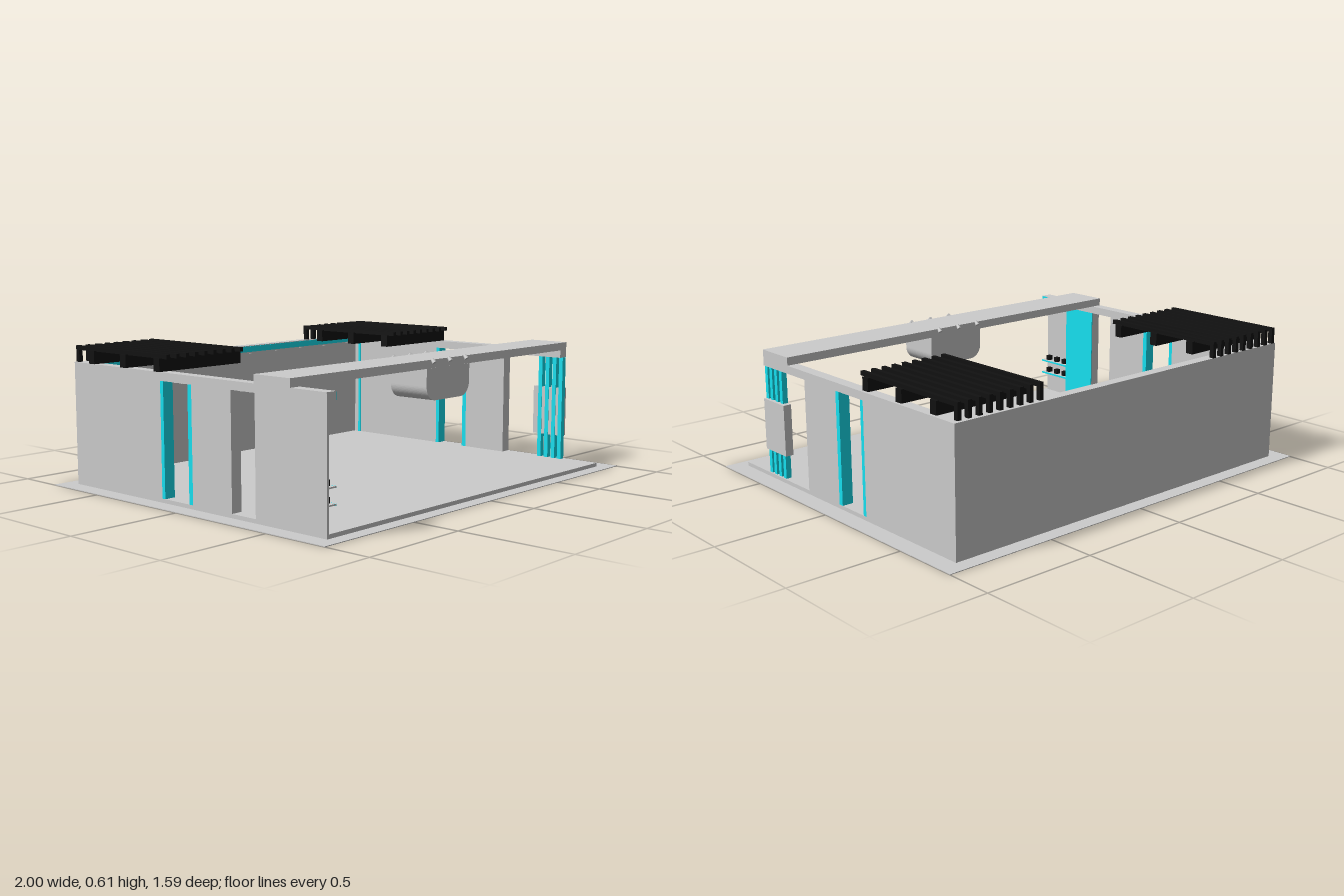
import * as THREE from 'three';

const grey = new THREE.MeshStandardMaterial({ color: 0xcccccc });
const teal = new THREE.MeshStandardMaterial({ color: 0x16e0f0 });
const black = new THREE.MeshStandardMaterial({ color: 0x111111 });

export function createModel() {
  const root = new THREE.Group();

  // Box given by its extents along each axis
  function box(name, mat, x0, x1, y0, y1, z0, z1, parent = root) {
    const mesh = new THREE.Mesh(new THREE.BoxGeometry(x1 - x0, y1 - y0, z1 - z0), mat);
    mesh.position.set((x0 + x1) / 2, (y0 + y1) / 2, (z0 + z1) / 2);
    mesh.name = name;
    parent.add(mesh);
    return mesh;
  }
  function downlight(x, z) {
    const mesh = new THREE.Mesh(new THREE.CylinderGeometry(0.01, 0.01, 0.006, 12), grey);
    mesh.position.set(x, 0.499, z);
    mesh.name = 'downlight';
    root.add(mesh);
  }

  const L = -0.925, R = 0.92, T = 0.05; // outer wall faces and thickness
  const F = 0.02, H = 0.5, TOP = 0.535; // floor, underside of lintel, wall top

  // Ground sheet and raised floor
  box('groundSheet', grey, -1, 1, 0, 0.003, -0.795, 0.795);
  box('floor', grey, L, R, 0.003, F, -0.73, 0.735);

  // Back wall with lit cornice
  box('backWall', grey, L, R, F, TOP, -0.73, -0.715);
  box('backCornice', grey, L + T, R - T, H, TOP, -0.715, -0.683);
  box('backLightStrip', teal, L + T, R - T, 0.505, 0.532, -0.683, -0.68);
  for (let i = 0; i < 10; i++) downlight(-0.79 + i * 0.175, -0.697);

  // Side walls: rear panel, doorway, pillar and lintel
  for (const s of [-1, 1]) {
    const x0 = s < 0 ? L : R - T, x1 = x0 + T;
    const inner = s < 0 ? x1 : x0;
    box('sideWall', grey, x0, x1, F, TOP, -0.715, -0.17);
    box('cornerLight', teal, inner - 0.004, inner + 0.004, F, H, -0.69, -0.675);
    box('doorJamb', teal, x0, x1, F, H, -0.17, -0.152);
    box('doorJamb', teal, x0, x1, F, H, -0.006, 0.016);
    box('pillar', grey, x0, x1, F, H, 0.016, 0.24);
    box('lintel', grey, x0, x1, H, TOP, -0.17, s < 0 ? 0.735 : 0.555);
    for (const z of [-0.1, -0.06, 0.28, 0.33]) downlight((x0 + x1) / 2, z);
  }

  // Right front post with lit inner face, and the shelf niche ahead of it
  box('frontPost', grey, L, L + T - 0.004, F, H, 0.37, 0.555);
  box('postLightPanel', teal, L + T - 0.004, L + T, F, H, 0.37, 0.555);
  box('nicheBack', grey, L, L + 0.01, F, H, 0.555, 0.735);
  box('nicheLightStrip', teal, L + T, L + T + 0.003, 0.503, 0.533, 0.555, 0.735);
  downlight(L + 0.025, 0.645);
  for (const y of [0.12, 0.185]) {
    box('shelf', grey, L + 0.01, L + T, y, y + 0.006, 0.555, 0.735);
    box('shelfLight', teal, L + T - 0.002, L + T + 0.001, y - 0.002, y + 0.006, 0.555, 0.735);
    for (const z of [0.59, 0.647, 0.705])
      box('shelfItem', black, -0.911, -0.888, y + 0.006, y + 0.029, z - 0.011, z + 0.011);
  }

  // Left front screen of upright bars carrying a panel
  for (const z of [0.548, 0.513, 0.475, 0.437])
    box('screenBar', teal, 0.888, 0.913, F, H, z - 0.01, z + 0.01);
  box('screenPanel', grey, 0.89, 0.927, 0.13, 0.355, 0.4, 0.555);

  // Cross beam with hanging box, rounded at its lower corners
  box('crossBeam', grey, L, R, TOP, 0.57, 0.365, 0.555);
  const a = -0.13, b = 0.16, y0 = 0.4, r = 0.06;
  const outline = new THREE.Shape();
  outline.moveTo(a, TOP);
  outline.lineTo(a, y0 + r);
  outline.absarc(a + r, y0 + r, r, Math.PI, Math.PI * 1.5, false);
  outline.absarc(b - r, y0 + r, r, Math.PI * 1.5, Math.PI * 2, false);
  outline.lineTo(b, TOP);
  const hanging = new THREE.Mesh(
    new THREE.ExtrudeGeometry(outline, { depth: 0.19, bevelEnabled: false, curveSegments: 8 }), grey);
  hanging.position.z = 0.3655;
  hanging.name = 'hangingBox';
  root.add(hanging);

  // Small spotlights on both faces of the beam
  for (const x of [-0.1, 0.01, 0.12]) for (const [z, s] of [[0.555, 1], [0.365, -1]]) {
    const lamp = new THREE.Mesh(new THREE.CylinderGeometry(0.007, 0.01, 0.02, 10), grey);
    lamp.position.set(x, 0.566, z + s * 0.01);
    lamp.rotation.x = -s * 0.7;
    lamp.name = 'spotlight';
    root.add(lamp);
  }

  // Slatted pergolas on the two rear corners
  function pergola(x, z) {
    const g = new THREE.Group();
    g.name = 'pergola';
    for (let i = 0; i < 9; i++) {
      const c = 0.022 + i * 0.05;
      box('slat', black, c - 0.009, c + 0.009, 0.587, 0.605, 0, 0.592, g);
      box('slatFoot', black, c - 0.009, c + 0.009, TOP, 0.587, 0, 0.02, g);
    }
    for (const c of [0.122, 0.33, 0.543])
      box('crossBar', black, 0, 0.445, TOP, 0.59, c - 0.018, c + 0.018, g);
    g.position.set(x, 0, z);
    root.add(g);
  }
  pergola(-0.928, -0.73);
  pergola(0.462, -0.715);

  return root;
}
